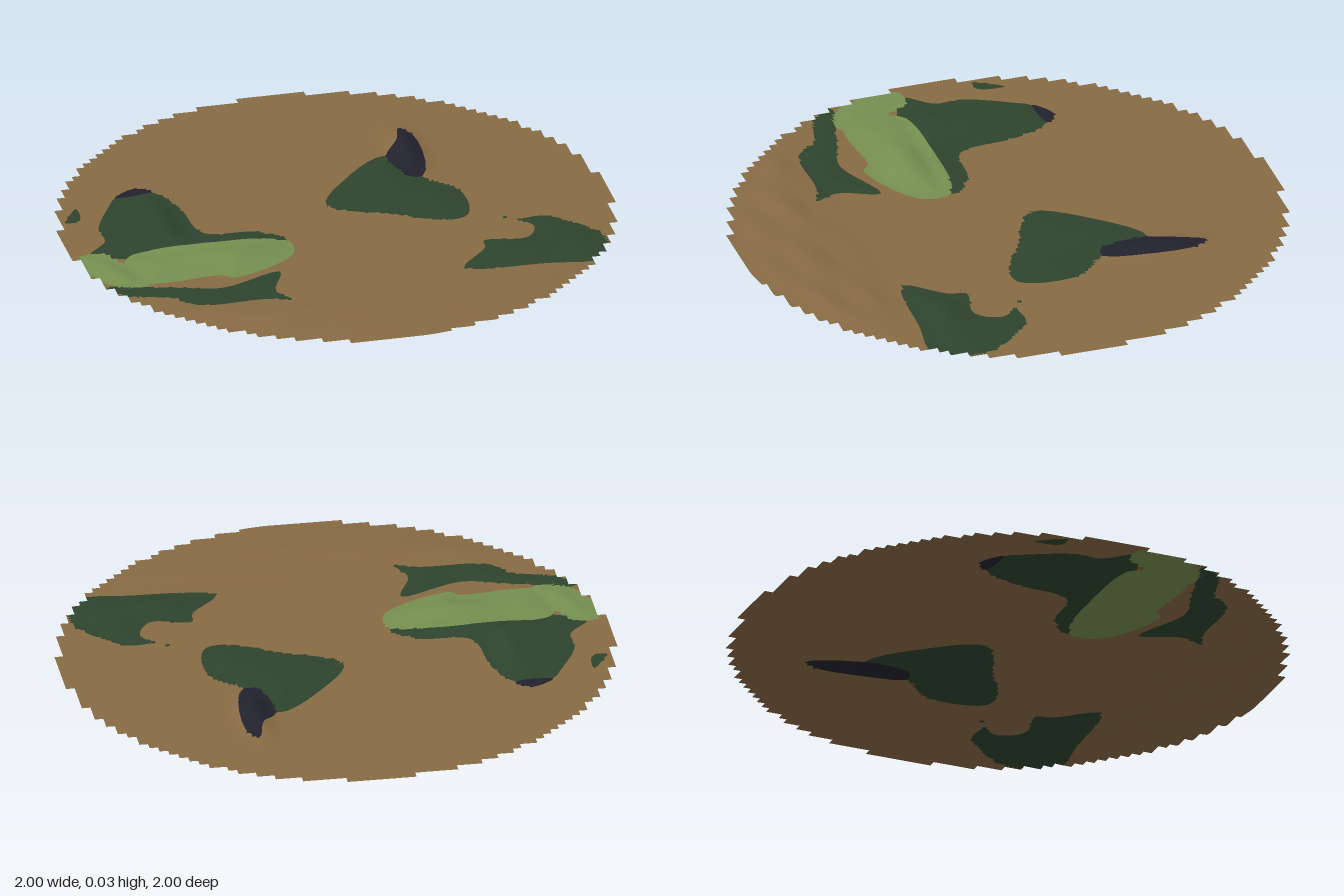
import * as THREE from 'three';

const BASE = 0.006;    // level of the flat plain
const N = 128;         // grid cells across the disc
const STEP = 2 / N;
const COARSE = 2 / 64; // size of the steps along the rim

// Smooth closed outline through a few x, z pairs in hundredths
function outline(...flat) {
  const points = [];
  for (let i = 0; i < flat.length; i += 2) points.push(new THREE.Vector3(flat[i] / 100, 0, flat[i + 1] / 100));
  return new THREE.CatmullRomCurve3(points, true, 'centripetal').getPoints(points.length * 5);
}

function inside(loop, x, z) {
  let hit = false;
  for (let i = 0; i < loop.length - 1; i++) {
    const a = loop[i], b = loop[i + 1];
    if ((a.z > z) !== (b.z > z) && x < a.x + (b.x - a.x) * (z - a.z) / (b.z - a.z)) hit = !hit;
  }
  return hit;
}

// Closest point of a loop to p
function closest(loop, p) {
  const line = new THREE.Line3(), near = new THREE.Vector3(), best = new THREE.Vector3(9, 0, 9);
  for (let k = 0; k < loop.length - 1; k++) {
    line.set(loop[k], loop[k + 1]).closestPointToPoint(p, true, near);
    if (near.distanceToSquared(p) < best.distanceToSquared(p)) best.copy(near);
  }
  return best;
}

const bump = (x, z, cx, cz, rx, rz) => Math.exp(-(((x - cx) / rx) ** 2) - ((z - cz) / rz) ** 2);

// Land swells away from its shore; ridges and front ripples are added on top.
function height(x, z, depth) {
  const swell = 0.013 * THREE.MathUtils.smoothstep(depth, 0, 0.13) * (1 + 0.3 * Math.sin(17 * x) * Math.cos(13 * z));
  const ridges = 0.025 * bump(x, z, 0.37, -0.45, 0.05, 0.16) + 0.012 * bump(x, z, -0.62, -0.12, 0.05, 0.18)
    + 0.01 * bump(x, z, -0.45, 0.22, 0.16, 0.07) + 0.014 * bump(x, z, 0.6, 0.43, 0.12, 0.08);
  const front = THREE.MathUtils.smoothstep(z, 0.52, 0.72) * (1 - THREE.MathUtils.smoothstep(Math.hypot(x, z), 0.86, 1));
  const ripples = front * (0.011 + 0.005 * Math.sin(34 * z + 5 * x) * Math.sin(9 * x + 1));
  return Math.min(0.04, BASE + swell + ridges + ripples);
}

// A coarse cell belongs to the disc when its outer corner is within reach of the rim.
function inDisc(x, z) {
  const cx = Math.ceil(Math.abs(x) / COARSE) * COARSE;
  const cz = Math.ceil(Math.abs(z) / COARSE) * COARSE;
  return cx * cx + cz * cz < (z > 0.9 ? 1.036 : 1.02);
}

export function createModel() {
  const model = new THREE.Group();
  const material = (name, color) => new THREE.MeshStandardMaterial({ name, color, side: THREE.DoubleSide });
  const earth = material('earth brown', 0x876a44);
  const forest = material('forest green', 0x2e442d);
  const meadow = material('meadow green', 0x768f50);
  const rock = material('dark rock', 0x22222e);

  // Later regions cover earlier ones
  const regions = [];
  const region = (name, paint, loop) => regions.push({ name, paint, loop, index: [] });
  region('westForest', forest, outline(-73, -33, -60, -34, -53, -21, -49, 2, -31, 5, -21.5, 14, -30, 20, -78, 16,
    -93, 10, -85, 0, -85, -10, -77, -27));
  region('westIslet', forest, outline(-89, -28, -90, -18, -95, -17));
  region('southWestForest', forest, outline(-93, 36, -69, 42, -53, 46, -30, 38, -35, 53, -31, 62, -40, 59, -64, 58,
    -72, 50, -88, 44));
  region('centralForest', forest, outline(28, -43, 36, -30, 38, -22, 48, -10, 46, 10, 38, 12, 20, 3, -1, -9, 10, -28));
  region('southEastForest', forest, outline(52, 10, 62, 17, 73, 17, 90, 38, 83, 55, 65, 54.5, 35, 51, 46, 37, 47, 31,
    62, 33, 67, 23));
  region('westMeadow', meadow, outline(-81, 15, -56, 11.5, -22, 14.5, -22, 26, -47, 39, -51, 36, -78, 36));
  region('rimMeadow', meadow, outline(-97, 10, -88, 10, -77.5, 38, -90, 36, -98, 20));
  region('westPeak', rock, outline(-73.5, -33, -65, -38.5, -59.5, -34));
  region('centralRidge', rock, outline(38, -62, 42, -55, 38, -24, 33, -24, 29, -43, 35, -52));
  const plain = { name: 'plain', paint: earth, index: [] };

  // Grid vertices, pulled onto a land outline when one passes close by
  const position = [];
  for (let j = 0; j <= N; j++) {
    for (let i = 0; i <= N; i++) {
      const grid = new THREE.Vector3(-1 + i * STEP, 0, -1 + j * STEP), v = grid.clone();
      let reach = STEP / 2, depth = 0;
      for (const { loop } of regions) {
        const near = closest(loop, grid), distance = near.distanceTo(grid);
        if (inside(loop, grid.x, grid.z)) depth = Math.max(depth, distance);
        if (distance < reach && grid.length() < 0.95) {
          reach = distance;
          v.copy(near);
        }
      }
      if (v.z > 0.85 && v.x > 0.03) v.clampLength(0, 1.004); // smooth stretch of the front rim
      position.push(v.x, height(v.x, v.z, depth), v.z);
    }
  }

  // Each triangle goes to the topmost region that holds its centre
  const all = [];
  const addTriangle = (...tri) => {
    const x = tri.reduce((sum, v) => sum + position[v * 3], 0) / 3;
    const z = tri.reduce((sum, v) => sum + position[v * 3 + 2], 0) / 3;
    (regions.findLast((r) => inside(r.loop, x, z)) ?? plain).index.push(...tri);
    all.push(...tri);
  };
  for (let j = 0; j < N; j++) {
    for (let i = 0; i < N; i++) {
      if (!inDisc(-1 + (i + 0.5) * STEP, -1 + (j + 0.5) * STEP)) continue;
      const p = j * (N + 1) + i, q = p + N + 1;
      addTriangle(p, q, p + 1);
      addTriangle(p + 1, q, q + 1);
    }
  }

  // Normals come from the whole surface, so parts meet without a visible seam
  const surface = new THREE.BufferGeometry();
  surface.setAttribute('position', new THREE.Float32BufferAttribute(position, 3));
  surface.setIndex(all);
  surface.computeVertexNormals();
  for (const { name, paint, index } of [plain, ...regions]) {
    const part = surface.clone().setIndex(index).toNonIndexed();
    const mesh = new THREE.Mesh(part, paint);
    mesh.name = name;
    model.add(mesh);
  }
  return model;
}
